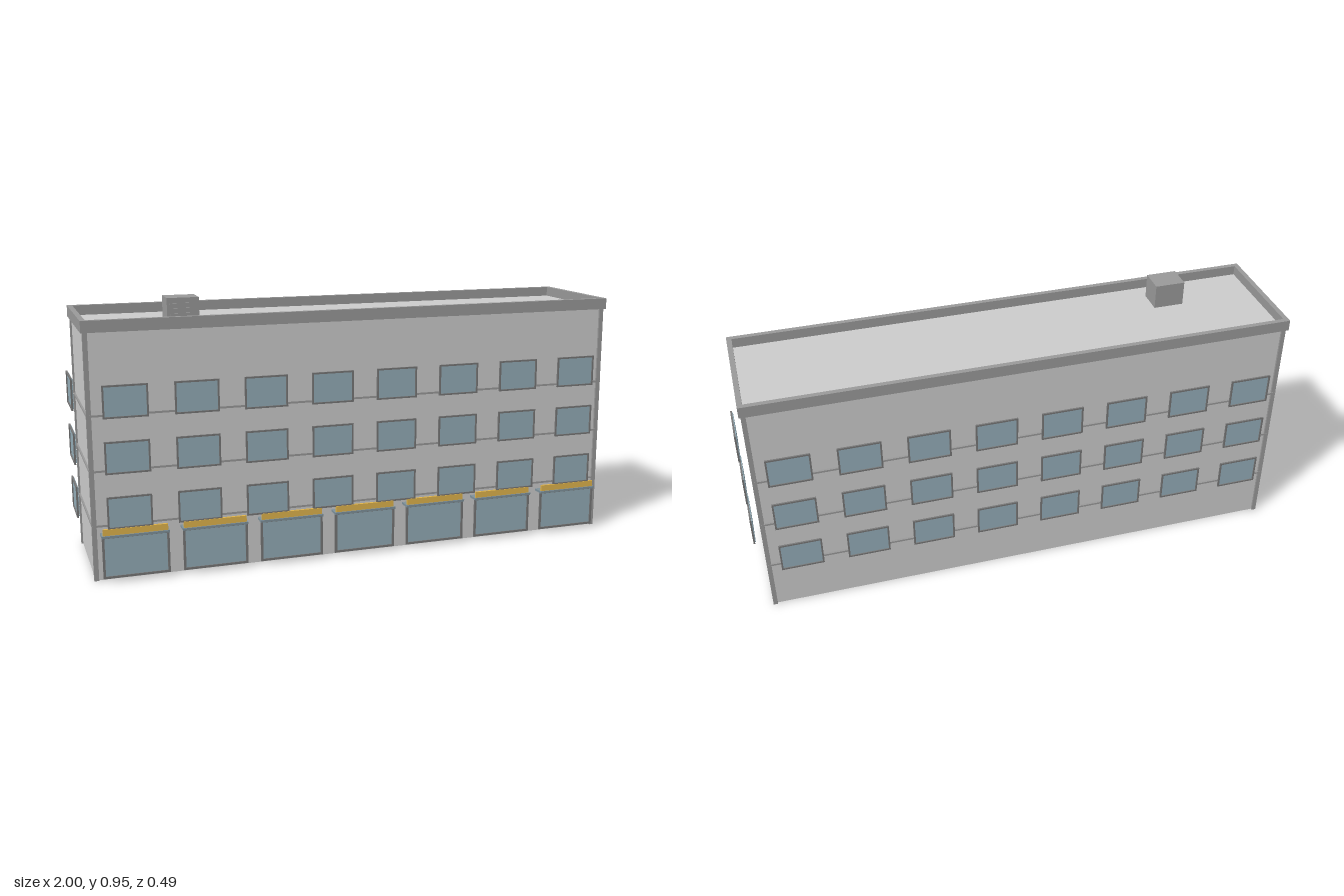
import * as THREE from 'three';

const mat = (color) => new THREE.MeshStandardMaterial({ color });
const wall = mat(0xcccccc), trim = mat(0x999999), frameMat = mat(0x777777);
const glass = mat(0x94adb8), yellow = mat(0xe0b44c);
const CZ = -0.003; // depth centre of the main block

// Box given by its min and max corners
function box(parent, name, material, [x0, y0, z0], [x1, y1, z1]) {
  const m = new THREE.Mesh(new THREE.BoxGeometry(x1 - x0, y1 - y0, z1 - z0), material);
  m.position.set((x0 + x1) / 2, (y0 + y1) / 2, (z0 + z1) / 2);
  m.name = name;
  parent.add(m);
  return m;
}

// Rectangular ring in the XY plane, extruded along z
function ring(w, h, t, depth) {
  const rect = (P, a, b) => new P([[-a, -b], [a, -b], [a, b], [-a, b]].map(([x, y]) => new THREE.Vector2(x, y)));
  const s = rect(THREE.Shape, w / 2, h / 2);
  s.holes.push(rect(THREE.Path, w / 2 - t, h / 2 - t));
  return new THREE.ExtrudeGeometry(s, { depth, bevelEnabled: false });
}

// Window facing +z, with its outer face at z = 0 and the pane set to the back
function makeWindow(name, w, h, t) {
  const g = new THREE.Group();
  g.name = name;
  const frame = new THREE.Mesh(ring(w, h, t, 0.006), frameMat);
  frame.position.z = -0.006;
  frame.name = 'windowFrame';
  g.add(frame);
  box(g, 'windowPane', glass, [-w / 2 + t * 0.8, -h / 2 + t * 0.8, -0.009], [w / 2 - t * 0.8, h / 2 - t * 0.8, -0.004]);
  return g;
}

export function createModel() {
  const model = new THREE.Group();
  model.name = 'building';

  // Main block with flat roof
  box(model, 'walls', wall, [-0.96, 0, CZ - 0.206], [0.96, 0.857, CZ + 0.206]);

  // Corner posts
  for (const sx of [-1, 1]) for (const sz of [-1, 1]) {
    const x = sx * 0.958, z = CZ + sz * 0.205;
    box(model, 'cornerPost', trim, [x - 0.008, 0, z - 0.008], [x + 0.008, 0.855, z + 0.008]);
  }

  // Parapet around the roof
  const parapet = new THREE.Mesh(ring(1.944, 0.442, 0.018, 0.04), trim);
  parapet.rotation.x = -Math.PI / 2;
  parapet.position.set(0, 0.852, CZ);
  parapet.name = 'parapet';
  model.add(parapet);

  // Floor bands and rows of windows
  for (let floor = 0; floor < 3; floor++) {
    const y = 0.19 + floor * 0.19, cy = y + 0.054;
    box(model, 'floorBand', trim, [-0.966, y, CZ - 0.214], [0.966, y + 0.007, CZ + 0.214]);
    for (let i = 0; i < 8; i++) {
      const x = (i - 3.5) * 0.24;
      const front = makeWindow('frontWindow', 0.152, 0.112, 0.006);
      front.position.set(x, cy, 0.241);
      const back = makeWindow('backWindow', 0.152, 0.112, 0.006);
      back.position.set(x, cy, -0.246);
      back.rotation.y = Math.PI;
      model.add(front, back);
    }
    for (const s of [-1, 1]) {
      const side = makeWindow('sideWindow', 0.155, 0.112, 0.006);
      side.position.set(s, cy, CZ);
      side.rotation.y = s * Math.PI / 2;
      model.add(side);
    }
  }

  // Shop fronts with canopy and sign strip
  for (let i = 0; i < 7; i++) {
    const shop = new THREE.Group();
    shop.name = 'shopFront';
    shop.position.x = (i - 3) * 0.2747;
    const display = makeWindow('shopWindow', 0.228, 0.15, 0.008);
    display.position.set(0, 0.09, 0.241);
    shop.add(display);
    box(shop, 'canopy', mat(0x7f929c), [-0.115, 0.16, 0.2], [0.115, 0.168, 0.248]);
    box(shop, 'signStrip', yellow, [-0.11, 0.168, 0.234], [0.11, 0.19, 0.243]);
    model.add(shop);
  }

  // Rooftop ventilation unit with louvres
  box(model, 'roofUnit', trim, [-0.675, 0.855, 0.047], [-0.565, 0.946, 0.138]);
  for (let i = 0; i < 4; i++) {
    const y = 0.871 + i * 0.017;
    box(model, 'louvre', trim, [-0.665, y, 0.136], [-0.575, y + 0.006, 0.142]);
  }
  return model;
}
